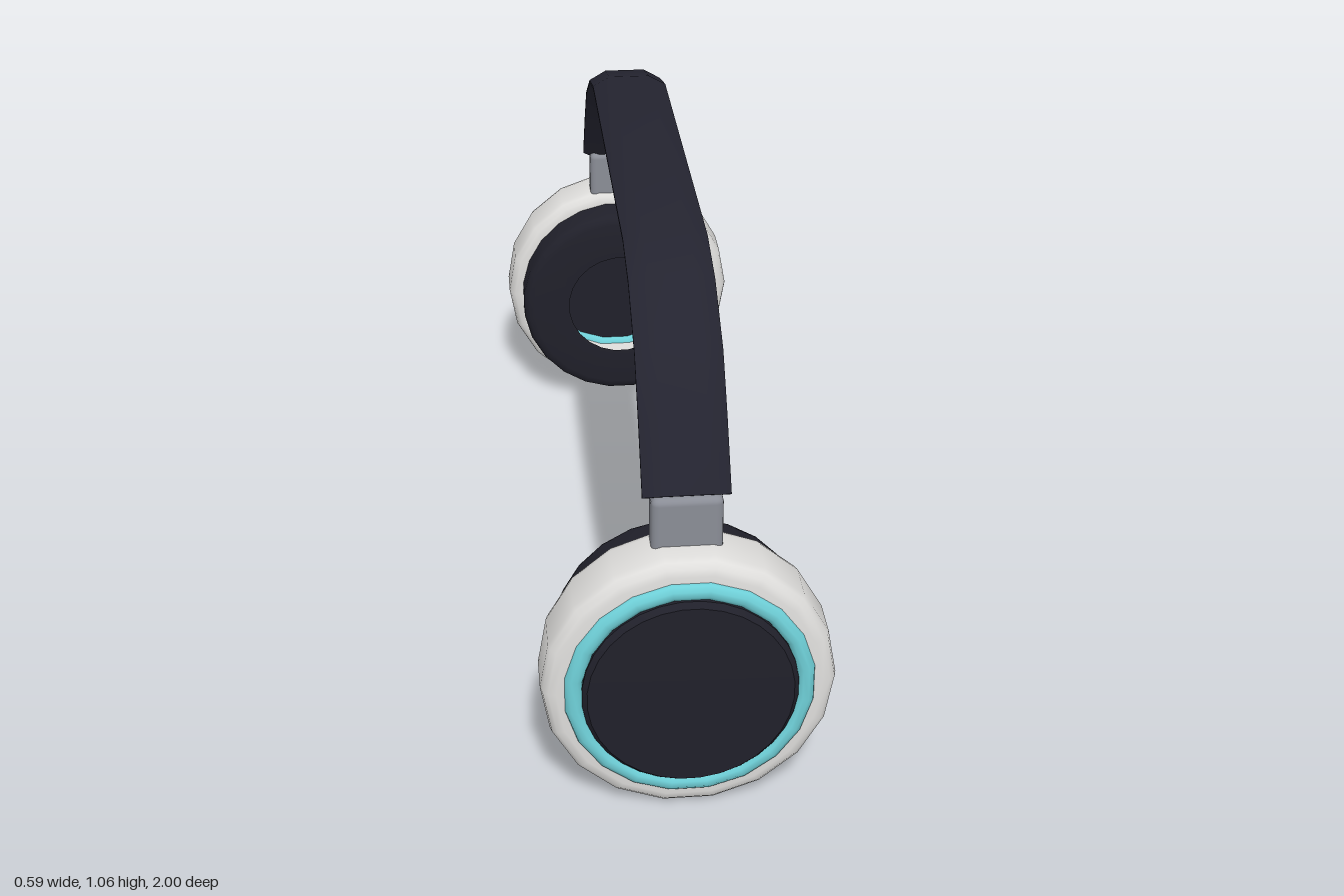
import * as THREE from 'three';
import { toCreasedNormals } from 'three/addons/utils/BufferGeometryUtils.js';
import { RoundedBoxGeometry } from 'three/addons/geometries/RoundedBoxGeometry.js';

const mat = (name, color, side = THREE.FrontSide) => {
  const m = new THREE.MeshStandardMaterial({ color, side });
  m.name = name;
  return m;
};

const CUP_Y = 0.2925;

// Turned part whose axis lies along z; profile is [radius, z]
function turned(profile, sides) {
  const pts = profile.map(([r, z]) => new THREE.Vector2(r, z));
  const geo = new THREE.LatheGeometry(pts, sides, Math.PI / sides);
  geo.rotateX(Math.PI / 2);
  return toCreasedNormals(geo, 0.7);
}

// Sweep a cross-section [x, n] along a path [z, y] in the x = 0 plane
function sweep(section, path) {
  const pos = [], index = [], n = section.length, last = path.length - 1;
  path.forEach(([z, y], i) => {
    const a = path[Math.max(i - 1, 0)], b = path[Math.min(i + 1, last)];
    const len = Math.hypot(b[0] - a[0], b[1] - a[1]);
    const tz = (b[0] - a[0]) / len, ty = (b[1] - a[1]) / len;
    for (const [sx, sn] of section) pos.push(sx, y - tz * sn, z + ty * sn);
  });
  for (let i = 0; i < last; i++) {
    for (let j = 0; j < n; j++) {
      const a = i * n + j, b = i * n + (j + 1) % n;
      index.push(a, a + n, b, b, a + n, b + n);
    }
  }
  for (let j = 1; j < n - 1; j++) {
    index.push(0, j, j + 1, last * n, last * n + j + 1, last * n + j);
  }
  const geo = new THREE.BufferGeometry();
  geo.setAttribute('position', new THREE.Float32BufferAttribute(pos, 3));
  geo.setIndex(index);
  return toCreasedNormals(geo, 0.7);
}

// Flat octagonal section, counter-clockwise
const chamfered = (w, h, cx, cy) => [
  [-w + cx, -h], [w - cx, -h], [w, -h + cy], [w, h - cy],
  [w - cx, h], [-w + cx, h], [-w, h - cy], [-w, -h + cy],
];

export function createModel() {
  const model = new THREE.Group();
  model.name = 'headphones';
  const shellMat = mat('shellWhite', 0xdfdedc);
  const bandMat = mat('bandDark', 0x242430);
  const padMat = mat('padDark', 0x20202a, THREE.DoubleSide);
  const ringMat = mat('accentTeal', 0x6fd0d8);
  const yokeMat = mat('yokeGrey', 0x8a8d96);

  const add = (parent, name, geo, material, y = 0, z = 0) => {
    const mesh = new THREE.Mesh(geo, material);
    mesh.name = name;
    mesh.position.set(0, y, z);
    parent.add(mesh);
  };

  // Cup shell: hollow ring with rounded outer edges
  const shell = turned([
    [0.23, 0.826], [0.267, 0.826], [0.282, 0.83], [0.293, 0.841], [0.297, 0.856],
    [0.297, 0.942], [0.293, 0.957], [0.282, 0.968], [0.267, 0.972], [0.23, 0.972], [0.23, 0.826],
  ], 18);
  // Ear cushion: open ring around the ear hole
  const cushion = turned([
    [0.14, 0.74], [0.236, 0.738], [0.249, 0.742], [0.258, 0.75], [0.262, 0.763], [0.262, 0.83],
  ], 24);
  // Outer cover, slightly domed
  const cover = turned([
    [0, 0.962], [0.216, 0.962], [0.217, 0.985], [0.207, 0.997], [0, 1],
  ], 32);
  const ring = new THREE.TorusGeometry(0.234, 0.02, 10, 20);
  ring.rotateZ(Math.PI / 20);
  const yoke = new RoundedBoxGeometry(0.142, 0.14, 0.066, 2, 0.015);

  // Two identical ear cups facing each other
  ['frontEarCup', 'backEarCup'].forEach((name, i) => {
    const cup = new THREE.Group();
    cup.name = name;
    cup.rotation.y = i * Math.PI;
    add(cup, 'shell', shell, shellMat, CUP_Y);
    add(cup, 'cushion', cushion, padMat, CUP_Y);
    add(cup, 'cover', cover, padMat, CUP_Y);
    add(cup, 'accentRing', ring, ringMat, CUP_Y, 0.967);
    add(cup, 'yoke', yoke, yokeMat, 0.62, 0.872);
    model.add(cup);
  });

  // Headband
  const half = [[0.88, 0.683], [0.795, 0.81], [0.715, 0.912], [0.573, 0.997], [0.44, 1.031]];
  const path = [...half, ...half.slice().reverse().map(([z, y]) => [-z, y])];
  add(model, 'headband', sweep(chamfered(0.0875, 0.025, 0.04, 0.022), path), bandMat);

  // Padding under the middle of the band
  const under = sweep(chamfered(0.07, 0.02, 0.025, 0.015), [[0.43, 0.995], [-0.43, 0.995]]);
  add(model, 'headPadding', under, padMat);

  return model;
}
